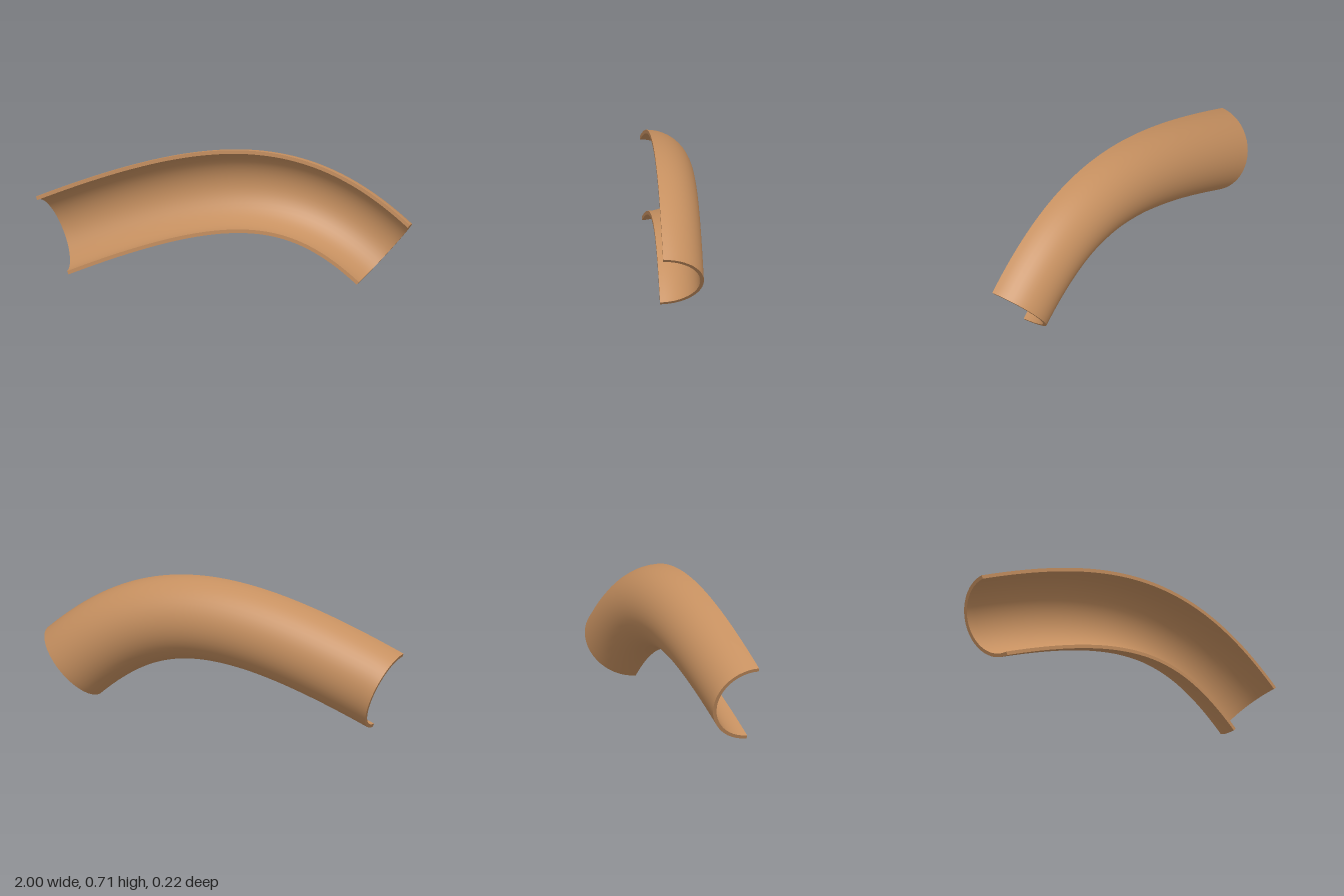
import * as THREE from 'three';
import { mergeGeometries } from 'three/addons/utils/BufferGeometryUtils.js';

const OUTER = 0.219, INNER = 0.2, FRONT_Z = 0.11;
const STEPS = 48, SIDES = 24;

// Centre line of the bent channel, in the xy plane
const path = new THREE.CubicBezierCurve(
  new THREE.Vector2(-0.912, 0.204),
  new THREE.Vector2(-0.022, 0.59),
  new THREE.Vector2(0.398, 0.601),
  new THREE.Vector2(0.857, 0.207)
);

// Point on the half pipe: s along the path, a from top (0) round the back to the bottom (1)
function pipePoint(s, a, radius) {
  const c = path.getPoint(s), t = path.getTangent(s);
  const up = radius * Math.cos(a * Math.PI), back = radius * Math.sin(a * Math.PI);
  return [c.x - t.y * up, c.y + t.x * up, FRONT_Z - back];
}

// Grid surface whose front faces along du x dv
function sheet(nu, nv, fn) {
  const positions = [], index = [];
  for (let i = 0; i <= nu; i++) {
    for (let j = 0; j <= nv; j++) {
      positions.push(...fn(i / nu, j / nv));
      if (i < nu && j < nv) {
        const a = i * (nv + 1) + j, b = a + nv + 1;
        index.push(a, b, a + 1, b, b + 1, a + 1);
      }
    }
  }
  const g = new THREE.BufferGeometry();
  g.setAttribute('position', new THREE.Float32BufferAttribute(positions, 3));
  g.setIndex(index);
  g.computeVertexNormals();
  return g;
}

export function createModel() {
  const group = new THREE.Group();
  group.name = 'curvedHalfPipe';
  const clay = new THREE.MeshStandardMaterial({ color: 0xc69060 });
  clay.name = 'clay brown';

  const add = (name, ...parts) => {
    const mesh = new THREE.Mesh(mergeGeometries(parts), clay);
    mesh.name = name;
    group.add(mesh);
  };
  const mix = (v) => INNER + (OUTER - INNER) * v;

  // Curved walls
  add('outerWall', sheet(STEPS, SIDES, (u, v) => pipePoint(u, v, OUTER)));
  add('innerWall', sheet(STEPS, SIDES, (u, v) => pipePoint(u, 1 - v, INNER)));

  // Flat front rims along the cut
  add('frontRims',
    sheet(STEPS, 1, (u, v) => pipePoint(u, 0, mix(v))),
    sheet(STEPS, 1, (u, v) => pipePoint(u, 1, mix(1 - v))));

  // Thin half rings closing both ends
  add('endRims',
    sheet(SIDES, 1, (u, v) => pipePoint(0, u, mix(1 - v))),
    sheet(SIDES, 1, (u, v) => pipePoint(1, u, mix(v))));

  return group;
}
